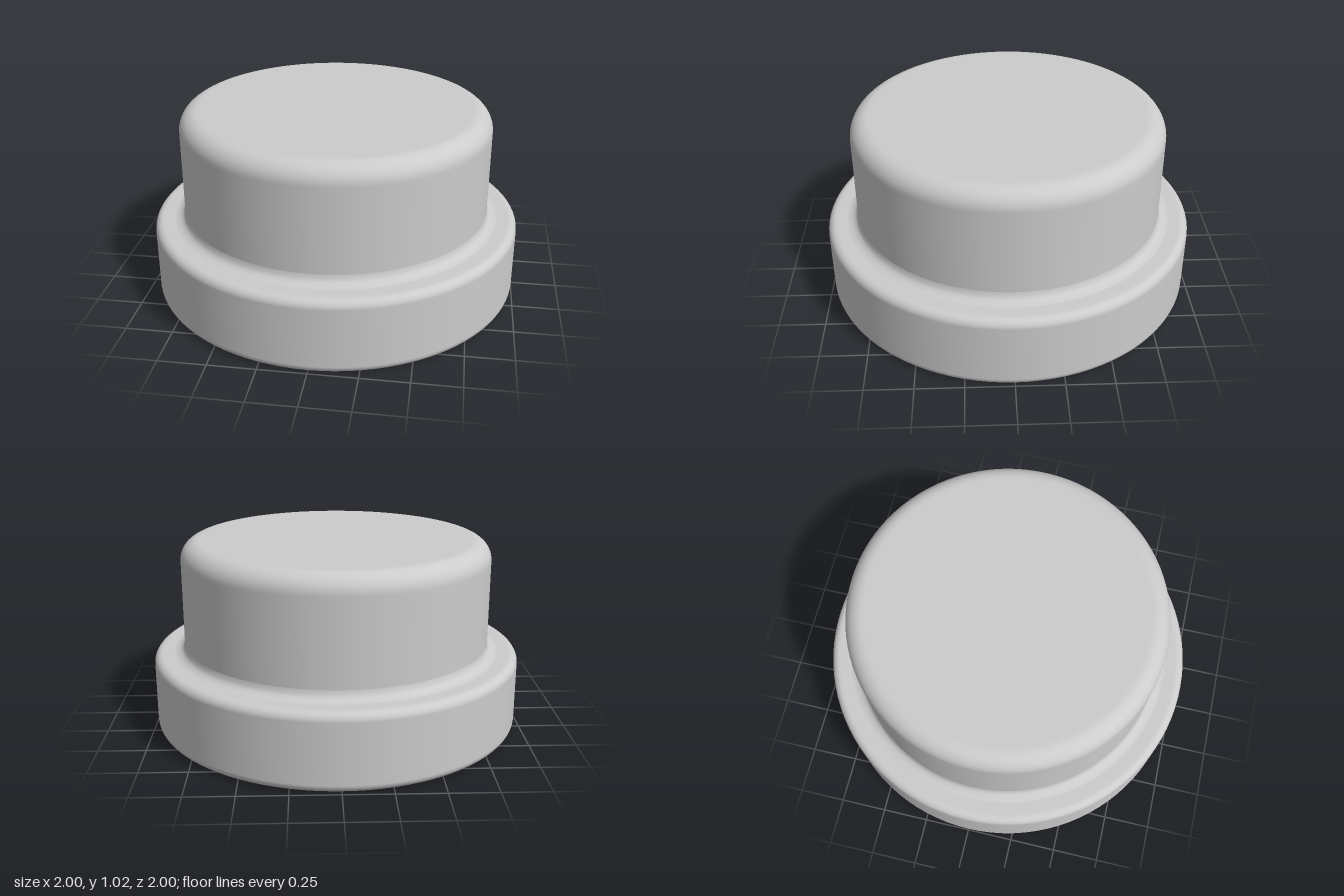
import * as THREE from 'three';

const SEGMENTS = 96;

// Quarter-round points about (cx, cy), from angle a to angle b in degrees
function arc(cx, cy, r, a, b, steps = 8) {
  return Array.from({ length: steps + 1 }, (_, i) => {
    const t = THREE.MathUtils.degToRad(a + ((b - a) * i) / steps);
    return new THREE.Vector2(cx + r * Math.cos(t), cy + r * Math.sin(t));
  });
}

function turned(name, points, material) {
  const mesh = new THREE.Mesh(new THREE.LatheGeometry(points, SEGMENTS), material);
  mesh.name = name;
  return mesh;
}

export function createModel() {
  const grey = new THREE.MeshStandardMaterial({ color: 0xcccccc });
  grey.name = 'light grey';
  const v = (x, y) => new THREE.Vector2(x, y);
  const group = new THREE.Group();
  group.name = 'roundButton';

  // Wide base with softly rounded rims
  group.add(turned('base', [
    v(0, 0), v(0.94, 0),
    ...arc(0.955, 0.045, 0.045, -90, 0),
    ...arc(0.955, 0.365, 0.045, 0, 90),
    v(0.94, 0.41), v(0.87, 0.41),
  ], grey));

  // Small fillet where the cap meets the ledge
  group.add(turned('collar', [
    v(0.89, 0.41), v(0.87, 0.414), v(0.85, 0.424), v(0.839, 0.44), v(0.835, 0.46),
  ], grey));

  // Raised cap with a rounded top edge
  group.add(turned('cap', [
    v(0.835, 0.45), v(0.835, 0.91),
    ...arc(0.735, 0.92, 0.1, 0, 90, 12),
    v(0.72, 1.02), v(0, 1.02),
  ], grey));

  return group;
}
